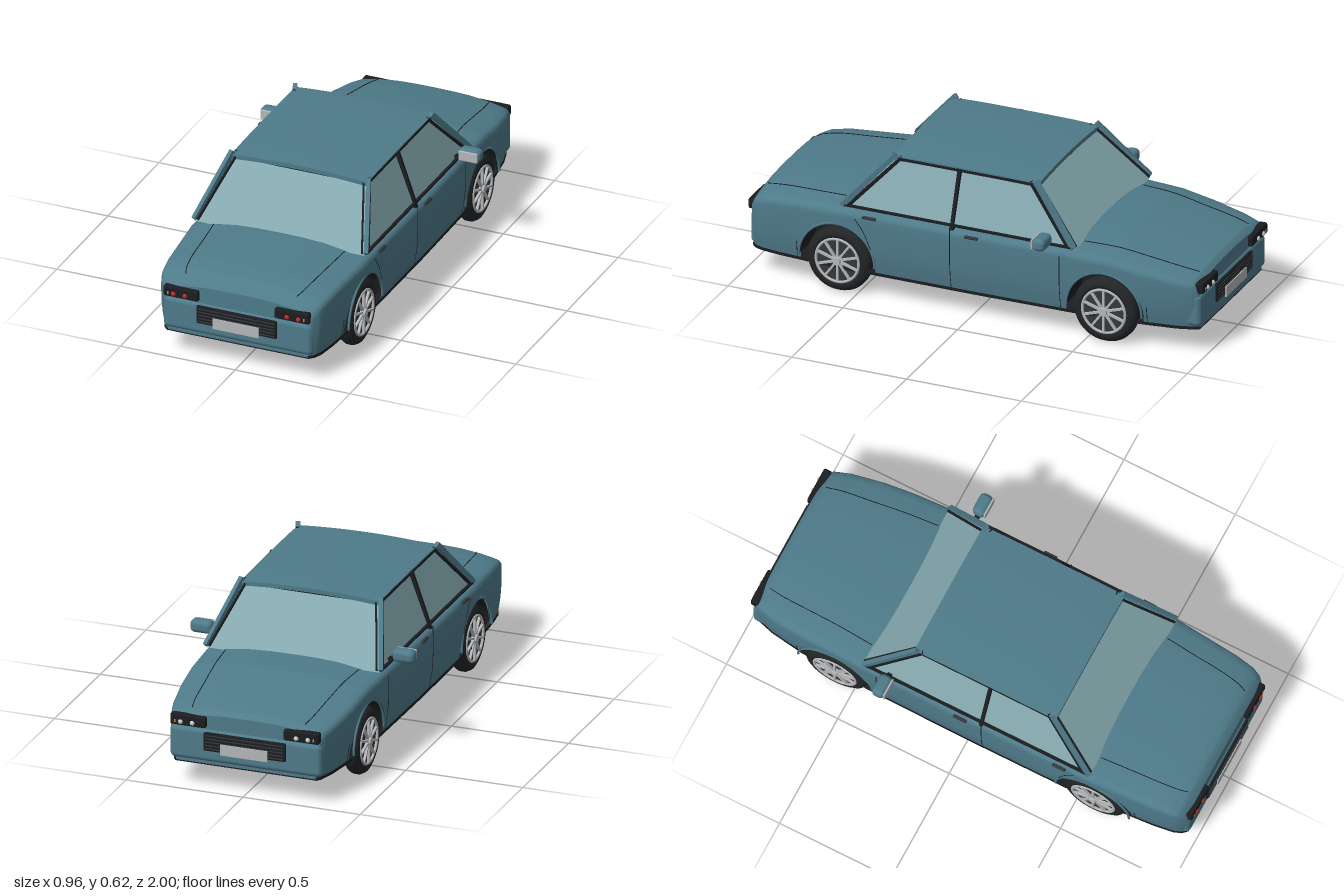
import * as THREE from 'three';
import { RoundedBoxGeometry } from 'three/addons/geometries/RoundedBoxGeometry.js';

const mat = (color, side = THREE.FrontSide) => new THREE.MeshStandardMaterial({ color, side });
const paint = mat(0x4f7b8a), paint2 = mat(0x4f7b8a, THREE.DoubleSide), glass = mat(0x85a9af);
const black = mat(0x1c1d20), black2 = mat(0x1c1d20, THREE.DoubleSide), rubber = mat(0x222426);
const grey = mat(0xb4b6b8), dark = mat(0x34383c), red = mat(0xc8281e), amber = mat(0xd88a20), white = mat(0xeeeeee);

// Body stations: z, half width, height on the centre line
const KEYS = [
  [-0.968, 0.315, 0.322], [-0.95, 0.328, 0.338], [-0.88, 0.348, 0.352], [-0.74, 0.368, 0.375],
  [-0.6, 0.376, 0.397], [-0.43, 0.383, 0.403], [0, 0.388, 0.403], [0.57, 0.386, 0.402],
  [0.84, 0.366, 0.386], [0.92, 0.355, 0.373], [0.955, 0.342, 0.358], [0.975, 0.322, 0.33]];
const AXLES = [-0.58, 0.58], AXLE_Y = 0.14, ARCH = 0.165, FLOOR = 0.11;

function station(z) {
  let i = 0;
  while (i < KEYS.length - 2 && z > KEYS[i + 1][0]) i++;
  const a = KEYS[i], b = KEYS[i + 1], t = (z - a[0]) / (b[0] - a[0]);
  return { w: a[1] + (b[1] - a[1]) * t, top: a[2] + (b[2] - a[2]) * t };
}
const topY = (z, f) => station(z).top - 0.034 * f ** 3;
const sideX = (z, y) => station(z).w - 0.018 * (Math.max(0, 0.27 - y) / 0.16) ** 2;

function lowerEdge(z) {
  for (const c of AXLES) {
    const d = Math.abs(z - c);
    if (d <= ARCH) return AXLE_Y + Math.sqrt(Math.max(0, ARCH * ARCH - d * d));
  }
  return FLOOR;
}

// One cross-section from the +x sill over the top to the -x sill
function section(z) {
  const { w, top } = station(z), y0 = lowerEdge(z), y1 = top - 0.055, half = [];
  for (let k = 0; k <= 6; k++) {
    const y = y0 + (y1 - y0) * k / 6;
    half.push([sideX(z, y), y]);
  }
  half.push([w * 0.992, top - 0.042]);
  for (const f of [0.965, 0.9, 0.75, 0.5, 0.25]) half.push([w * f, topY(z, f)]);
  return [...half, [0, top], ...half.map(([x, y]) => [-x, y]).reverse()];
}

function bodyShell() {
  const zs = KEYS.map(k => k[0]);
  for (let z = -0.94; z < 0.96; z += 0.04) zs.push(z);
  for (const c of AXLES) {
    for (let k = 0; k <= 24; k++) zs.push(c - ARCH * Math.cos(Math.PI * k / 24));
    zs.push(c - ARCH - 0.001, c + ARCH + 0.001);
  }
  zs.sort((a, b) => a - b);
  const pos = [], idx = [], n = section(0).length;
  zs.forEach((z, i) => {
    section(z).forEach(([x, y], j) => {
      pos.push(x, y, z);
      if (i < zs.length - 1 && j < n - 1) {
        const a = i * n + j, b = a + n;
        idx.push(a, a + 1, b, b, a + 1, b + 1);
      }
    });
  });
  const g = new THREE.BufferGeometry();
  g.setAttribute('position', new THREE.Float32BufferAttribute(pos, 3));
  g.setIndex(idx);
  g.computeVertexNormals();
  return g;
}

export function createModel() {
  const car = new THREE.Group();
  car.name = 'saloonCar';
  const add = (name, geo, m, x = 0, y = 0, z = 0, parent = car) => {
    const mesh = new THREE.Mesh(geo, m);
    mesh.name = name;
    mesh.position.set(x, y, z);
    parent.add(mesh);
    return mesh;
  };
  const box = (name, m, w, h, d, x, y, z) => add(name, new THREE.BoxGeometry(w, h, d), m, x, y, z);
  const rbox = (name, m, w, h, d, r, x, y, z) => add(name, new RoundedBoxGeometry(w, h, d, 4, r), m, x, y, z);
  const bar = (name, m, a, b, w, d) => {
    const p = new THREE.Vector3(...a), q = new THREE.Vector3(...b);
    const mesh = add(name, new THREE.BoxGeometry(w, d, p.distanceTo(q)), m);
    mesh.position.copy(p).add(q).multiplyScalar(0.5);
    mesh.lookAt(q);
  };
  const seam = (name, pts) => add(name, new THREE.TubeGeometry(
    new THREE.CatmullRomCurve3(pts.map(p => new THREE.Vector3(...p))), 24, 0.0018, 5), black);

  // Body shell, end panels and floor
  add('bodyShell', bodyShell(), paint2);
  for (const z of [-0.968, 0.975]) {
    const shape = new THREE.Shape(section(z).map(p => new THREE.Vector2(...p)));
    add('endPanel', new THREE.ShapeGeometry(shape), paint2, 0, 0, z);
  }
  const outline = [...KEYS.map(k => [k[1] - 0.014, k[0]]), ...KEYS.map(k => [0.014 - k[1], k[0]]).reverse()];
  const floor = new THREE.ExtrudeGeometry(new THREE.Shape(outline.map(p => new THREE.Vector2(...p))),
    { depth: 0.012, bevelEnabled: false });
  add('floor', floor.rotateX(Math.PI / 2), black, 0, 0.117, 0);

  // Cabin glass: a box drawn in towards the roof
  const cabin = new THREE.BoxGeometry(2, 1, 2), cp = cabin.attributes.position;
  for (let i = 0; i < cp.count; i++) {
    const up = cp.getY(i) > 0, back = cp.getZ(i) > 0;
    cp.setXYZ(i, cp.getX(i) * (up ? 0.287 : 0.37), up ? 0.608 : 0.385,
      back ? (up ? 0.355 : 0.565) : (up ? -0.245 : -0.455));
  }
  cabin.computeVertexNormals();
  add('cabinGlass', cabin, glass);

  // Crowned roof with a dark lining edge
  const roof = new RoundedBoxGeometry(0.595, 0.02, 0.635, 5, 0.009);
  const slab = new THREE.BoxGeometry(0.595, 0.018, 0.635, 20, 1, 20);
  const sp = slab.attributes.position;
  for (let i = 0; i < sp.count; i++) {
    const x = sp.getX(i) / 0.2975, z = sp.getZ(i) / 0.3175;
    sp.setY(i, sp.getY(i) + 0.616 - 0.013 * x * x - 0.006 * z ** 4);
  }
  slab.computeVertexNormals();
  add('roof', slab, paint, 0, 0, 0.055);
  add('roofLining', roof.scale(0.985, 0.8, 0.985), black, 0, 0.597, 0.055);

  for (const s of [-1, 1]) {
    // Pillars and side window frames
    for (const [zb, zt] of [[-0.45, -0.25], [0.56, 0.36]]) {
      const inward = zb < 0 ? 0.025 : -0.025;
      bar('pillar', paint, [s * 0.374, 0.39, zb], [s * 0.296, 0.617, zt], 0.018, 0.022);
      bar('windowFrame', black, [s * 0.371, 0.39, zb + inward], [s * 0.289, 0.607, zt + inward], 0.014, 0.012);
      bar('screenSeal', black, [s * 0.358, 0.392, zb - inward * 0.15], [s * 0.277, 0.605, zt - inward * 0.15], 0.008, 0.008);
    }
    bar('centrePillar', black, [s * 0.372, 0.37, 0.08], [s * 0.291, 0.605, 0.08], 0.014, 0.028);
    bar('windowTopFrame', black, [s * 0.292, 0.6, -0.24], [s * 0.292, 0.6, 0.35], 0.012, 0.012);
    bar('windowSill', black, [s * 0.373, 0.392, -0.44], [s * 0.373, 0.392, 0.55], 0.012, 0.008);

    // Door handles and mirror
    for (const z of [-0.01, 0.435]) rbox('doorHandle', dark, 0.014, 0.012, 0.06, 0.005, s * 0.39, 0.36, z);
    rbox('mirrorShell', paint, 0.094, 0.054, 0.055, 0.02, s * 0.432, 0.424, -0.337);
    rbox('mirrorGlass', grey, 0.082, 0.043, 0.008, 0.0035, s * 0.432, 0.424, -0.309);
    bar('mirrorArm', black, [s * 0.362, 0.398, -0.337], [s * 0.4, 0.416, -0.337], 0.02, 0.014);

    // Panel gaps
    const ys = [0.12, 0.2, 0.28, 0.34, 0.385];
    seam('doorGap', ys.map(y => [s * sideX(0.085, y), y, 0.085]));
    seam('frontDoorGap', [0.12, 0.22, 0.35].map(y => [s * sideX(-0.39, y), y, -0.39]));
    seam('rearDoorGap', [[0.43, 0.22], [0.46, 0.29], [0.5, 0.345]].map(([z, y]) => [s * sideX(z, y), y, z]));
    for (const z of [-0.76, 0.76]) seam('wingGap', [0.12, 0.15, 0.19].map(y => [s * sideX(z, y), y, z]));
    for (const zs of [[-0.46, -0.6, -0.74, -0.88, -0.94], [0.57, 0.7, 0.84, 0.91, 0.94]])
      seam('lidGap', zs.map((z, k) => {
        const x = 0.285 - k * 0.011;
        return [s * x, topY(z, x / station(z).w) + 0.001, z];
      }));

    // Wheel wells, arch lips and wheels
    for (const z of AXLES) {
      const well = add('wheelWell', new THREE.CylinderGeometry(0.166, 0.166, 0.15, 32, 1, true, 0, Math.PI),
        black2, s * 0.293, AXLE_Y, z);
      well.rotation.z = Math.PI / 2;
      const wall = add('wellWall', new THREE.CircleGeometry(0.166, 24, 0, Math.PI), black2, s * 0.22, AXLE_Y, z);
      wall.rotation.y = Math.PI / 2;
      const lip = add('archLip', new THREE.TorusGeometry(ARCH, 0.005, 6, 32, Math.PI), paint,
        s * (station(z).w - 0.004), AXLE_Y, z);
      lip.rotation.y = Math.PI / 2;

      const wheel = new THREE.Group();
      wheel.name = 'wheel';
      wheel.position.set(s * 0.342, AXLE_Y, z);
      wheel.rotation.z = -s * Math.PI / 2;
      car.add(wheel);
      const profile = [[0.09, -0.03], [0.112, -0.034], [0.13, -0.025], [0.138, -0.01], [0.138, 0.01],
        [0.13, 0.025], [0.112, 0.034], [0.096, 0.031], [0.09, 0.015]].map(p => new THREE.Vector2(...p));
      add('tyre', new THREE.LatheGeometry(profile, 40), rubber, 0, 0, 0, wheel);
      add('wheelDisc', new THREE.CylinderGeometry(0.093, 0.093, 0.045, 32), dark, 0, 0, 0, wheel);
      const rim = add('rim', new THREE.TorusGeometry(0.093, 0.006, 8, 40), grey, 0, 0.031, 0, wheel);
      rim.rotation.x = Math.PI / 2;
      add('hub', new THREE.CylinderGeometry(0.016, 0.02, 0.022, 16), grey, 0, 0.033, 0, wheel);
      for (let k = 0; k < 10; k++) {
        const a = k * Math.PI / 5;
        const spoke = add('spoke', new THREE.BoxGeometry(0.078, 0.01, 0.009), grey,
          0.053 * Math.cos(a), 0.031, -0.053 * Math.sin(a), wheel);
        spoke.rotation.y = a;
      }
    }
  }

  // Bumpers, grilles, plates and lamps at both ends
  for (const e of [-1, 1]) {
    const face = e < 0 ? -0.978 : 0.983, tail = e > 0;
    rbox('bumper', paint, 0.65, 0.142, 0.08, 0.022, 0, 0.19, face - e * 0.04);
    rbox('grille', black, 0.35, 0.078, 0.016, 0.005, 0, 0.21, face);
    for (let k = 0; k < 5; k++) box('grilleSlat', dark, 0.335, 0.004, 0.006, 0, 0.182 + k * 0.014, face + e * 0.008);
    box('blankPlate', grey, 0.2, 0.046, 0.006, 0, 0.187, face + e * 0.012);
    for (const s of [-1, 1]) {
      rbox('lampHousing', black, 0.152, 0.046, 0.036, 0.008, s * 0.242, 0.289, face - e * 0.008);
      for (const x of [0.222, 0.272])
        add('lamp', new THREE.SphereGeometry(0.0105, 16, 10), tail ? red : white, s * x, 0.282, face + e * 0.008);
      box('indicator', amber, 0.007, 0.012, 0.006, s * 0.296, 0.284, face + e * 0.009);
    }
  }
  return car;
}
